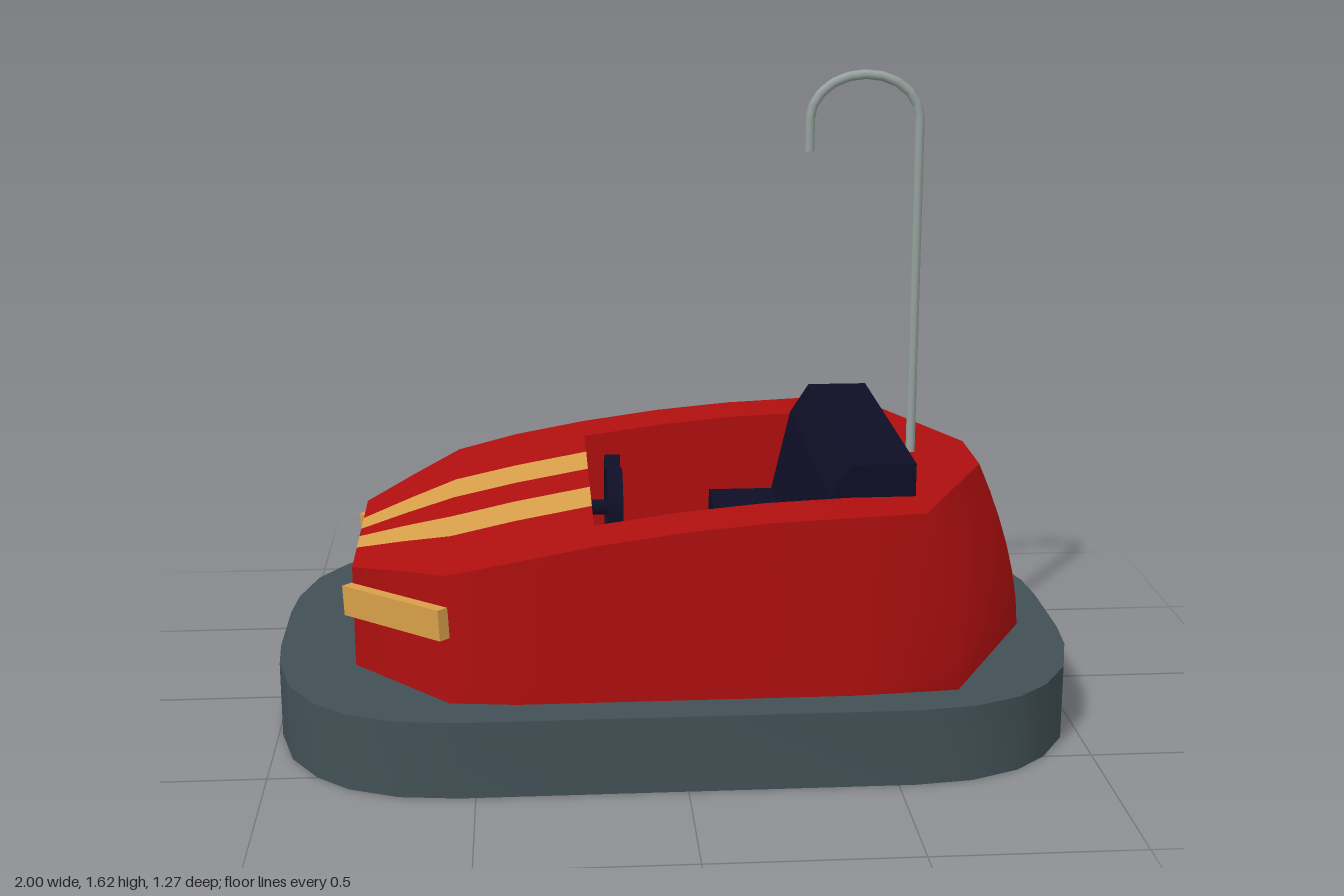
import * as THREE from 'three';
import { toCreasedNormals } from 'three/addons/utils/BufferGeometryUtils.js';

const mat = (name, color, side = THREE.FrontSide) => {
  const m = new THREE.MeshStandardMaterial({ color, side });
  m.name = name;
  return m;
};

const FLOOR = 0.19;
// Height of the body's upper surface along its length
const topY = (x) => 0.638 - 0.193 * ((x - 0.5) / 1.3) ** 2;

// Half outline of the body, nose to tail: [x at the bottom, x at the top, half width]
const OUTLINE = [
  [-0.8, -0.8, 0.27], [-0.68, -0.68, 0.4], [-0.56, -0.56, 0.53], [-0.4, -0.4, 0.55], [-0.21, -0.21, 0.55],
  [0, 0, 0.55], [0.2, 0.2, 0.55], [0.4, 0.4, 0.55], [0.66, 0.57, 0.53], [0.9, 0.785, 0.105],
];

// Surface through rows of points
function grid(rows) {
  const pos = [], index = [], n = rows[0].length;
  rows.forEach((row) => row.forEach((p) => pos.push(...p)));
  for (let r = 0; r < rows.length - 1; r++) {
    for (let c = 0; c < n - 1; c++) {
      const a = r * n + c, b = a + 1, d = a + n, e = d + 1;
      index.push(a, b, e, a, e, d);
    }
  }
  const g = new THREE.BufferGeometry();
  g.setAttribute('position', new THREE.Float32BufferAttribute(pos, 3));
  g.setIndex(index);
  return toCreasedNormals(g, 1.05);
}

// Wall that bulges out towards its foot, through columns [xBottom, xTop, z]
function wall(columns) {
  const rows = [];
  for (let i = 0; i <= 6; i++) {
    const u = i / 6; // 0 at the foot, 1 at the rim
    const f = 1 - u ** 1.7;
    rows.push(columns.map(([xb, xt, z]) => [xt + (xb - xt) * f, FLOOR + (topY(xt) - FLOOR) * u, z]));
  }
  return grid(rows);
}

// Strip of the upper surface between two z limits given per station
const topStrip = (stations, z0, z1) =>
  grid(stations.map((s) => [z0(s), z1(s)].map((z) => [s[1], topY(s[1]), z])));

export function createModel() {
  const red = mat('red paint', 0xb00f0f, THREE.DoubleSide);
  const gold = mat('gold paint', 0xd9a04a, THREE.DoubleSide);
  const rubber = mat('grey rubber', 0x425156);
  const navy = mat('dark navy', 0x0e0e26);
  const steel = mat('steel', 0x98a29f);

  const model = new THREE.Group();
  const car = new THREE.Group();
  car.name = 'car';
  car.position.z = -0.01;
  model.add(car);
  const add = (parent, name, geometry, material) => {
    const m = new THREE.Mesh(geometry, material);
    m.name = name;
    parent.add(m);
    return m;
  };

  // Rubber bumper base
  const quarter = [[1, 0.12], [0.99, 0.24], [0.95, 0.39], [0.88, 0.5], [0.8, 0.57], [0.68, 0.62], [0.54, 0.637]];
  const back = [...quarter].reverse();
  const ring = [
    ...quarter, ...back.map(([x, z]) => [-x, z]),
    ...quarter.map(([x, z]) => [-x, -z]), ...back.map(([x, z]) => [x, -z]),
  ];
  const baseGeo = new THREE.ExtrudeGeometry(
    new THREE.Shape(ring.map(([x, z]) => new THREE.Vector2(x, z))), { depth: FLOOR, bevelEnabled: false });
  baseGeo.rotateX(-Math.PI / 2);
  add(model, 'bumperBase', toCreasedNormals(baseGeo, 0.6), rubber);

  // Body walls, running round from one side of the tail stripe to the other
  const farSide = [...OUTLINE].reverse().map(([b, t, z]) => [b, t, -z]);
  add(car, 'bodyWall', wall([...farSide, ...OUTLINE]), red);
  const tail = OUTLINE[OUTLINE.length - 1];
  add(car, 'tailStripe', wall([tail, [tail[0], tail[1], -tail[2]]]), gold);

  // Bonnet with two flaring stripes
  const bonnet = OUTLINE.slice(0, 5);
  const flare = (x) => Math.min(1, (x + 0.8) / 0.24);
  const inner = (s) => 0.03 + 0.05 * flare(s[1]);
  const outer = (s) => 0.12 + 0.12 * flare(s[1]);
  const neg = (fn) => (s) => -fn(s);
  const width = (s) => s[2];
  add(car, 'bonnetCentre', topStrip(bonnet, neg(inner), inner), red);
  add(car, 'leftBonnetStripe', topStrip(bonnet, inner, outer), gold);
  add(car, 'rightBonnetStripe', topStrip(bonnet, neg(outer), neg(inner)), gold);
  add(car, 'leftBonnetSide', topStrip(bonnet, outer, width), red);
  add(car, 'rightBonnetSide', topStrip(bonnet, neg(width), neg(outer)), red);

  // Rims beside the cockpit, and the rear deck
  const HALF = 0.395;
  const cockpit = OUTLINE.slice(4, 9);
  const half = () => HALF;
  add(car, 'leftRim', topStrip(cockpit, half, width), red);
  add(car, 'rightRim', topStrip(cockpit, neg(width), neg(half)), red);
  add(car, 'rearDeck', topStrip(OUTLINE.slice(8), neg(width), width), red);

  // Cockpit lining
  const lining = [
    ...cockpit.map((s) => [s[1], HALF]),
    ...[...cockpit].reverse().map((s) => [s[1], -HALF]),
    [cockpit[0][1], HALF],
  ];
  add(car, 'cockpitLining', grid([
    lining.map(([x, z]) => [x, topY(x), z]),
    lining.map(([x, z]) => [x, FLOOR, z]),
  ]), red);

  // Bench seat
  const seatShape = new THREE.Shape([
    [0.135, FLOOR], [0.568, FLOOR], [0.568, 0.718], [0.41, 0.718], [0.36, 0.64], [0.31, 0.42], [0.135, 0.42],
  ].map(([x, y]) => new THREE.Vector2(x, y)));
  const seatGeo = new THREE.ExtrudeGeometry(seatShape, { depth: 0.784, bevelEnabled: false });
  seatGeo.translate(0, 0, -0.392);
  add(car, 'seat', seatGeo, navy);

  // Steering wheel: two grips, a crossbar, a hub and a column
  const wheel = new THREE.Group();
  wheel.name = 'steeringWheel';
  wheel.position.set(-0.147, 0.5, 0);
  car.add(wheel);
  for (const side of [0, Math.PI]) {
    const arc = new THREE.Shape();
    arc.absarc(0, 0, 0.137, side - 1.13, side + 1.13, false);
    arc.absarc(0, 0, 0.098, side + 1.13, side - 1.13, true);
    const grip = new THREE.ExtrudeGeometry(arc, { depth: 0.04, bevelEnabled: false, curveSegments: 6 });
    grip.translate(0, 0, -0.02);
    grip.rotateY(Math.PI / 2);
    add(wheel, side ? 'leftGrip' : 'rightGrip', grip, navy);
  }
  add(wheel, 'crossbar', new THREE.BoxGeometry(0.03, 0.045, 0.21), navy);
  const axle = (r, length, x) =>
    new THREE.CylinderGeometry(r, r, length, 12).rotateZ(Math.PI / 2).translate(x, 0, 0);
  add(wheel, 'column', axle(0.02, 0.06, -0.035), navy);
  add(wheel, 'hub', axle(0.018, 0.008, 0.018), gold);

  // Headlight bars across the nose corners
  for (const s of [1, -1]) {
    const lamp = add(car, s > 0 ? 'leftHeadlight' : 'rightHeadlight', new THREE.BoxGeometry(0.36, 0.075, 0.03), gold);
    lamp.position.set(-0.69, 0.38, s * 0.41);
    lamp.rotation.set(0, -s * 0.825, 0.075, 'YXZ');
  }

  // Power pole with a hooked top
  const path = new THREE.CurvePath();
  const v = (x, y) => new THREE.Vector3(x, y, 0);
  const hook = [];
  for (let i = 0; i <= 10; i++) {
    const a = (i / 10) * Math.PI;
    hook.push(v(0.487 + 0.138 * Math.cos(a), 1.5 + 0.11 * Math.sin(a)));
  }
  const points = [v(0.625, 0.62), ...hook, v(0.349, 1.42)];
  for (let i = 1; i < points.length; i++) path.add(new THREE.LineCurve3(points[i - 1], points[i]));
  add(car, 'powerPole', new THREE.TubeGeometry(path, 120, 0.012, 8), steel);
  for (const [p, turn] of [[points[points.length - 1], Math.PI / 2], [points[0], Math.PI / 2]]) {
    const cap = add(car, 'poleCap', new THREE.CircleGeometry(0.012, 8), steel);
    cap.position.copy(p);
    cap.rotation.x = turn;
  }
  return model;
}
